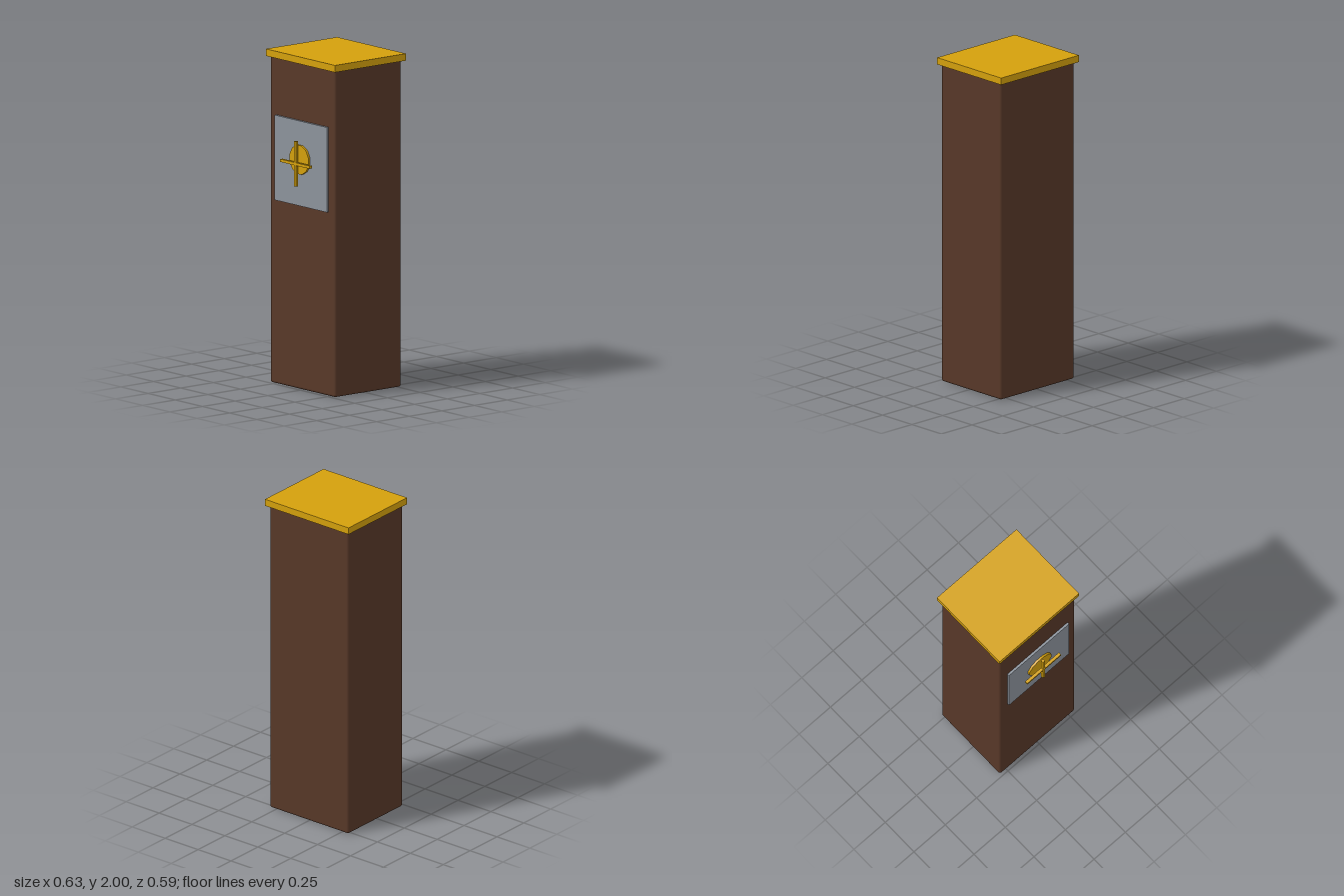
import * as THREE from 'three';
import { RoundedBoxGeometry } from 'three/addons/geometries/RoundedBoxGeometry.js';

const material = (color) => new THREE.MeshStandardMaterial({ color });

export function createModel() {
  const model = new THREE.Group();
  const wood = material(0x583828);
  const gold = material(0xd4a00c);
  const steel = material(0x8c939c);

  const add = (name, geometry, mat, x, y, z) => {
    const mesh = new THREE.Mesh(geometry, mat);
    mesh.name = name;
    mesh.position.set(x, y, z);
    model.add(mesh);
    return mesh;
  };
  const box = (name, mat, w, h, d, x, y, z) =>
    add(name, new THREE.BoxGeometry(w, h, d), mat, x, y, z);

  // Tall pillar with softly rounded edges, and an overhanging lid
  add('pillar', new RoundedBoxGeometry(0.6, 1.97, 0.51, 3, 0.015), wood, 0, 0.985, -0.021);
  box('lid', gold, 0.634, 0.042, 0.545, 0, 1.979, -0.0225);

  // Front plate
  box('frontPlate', steel, 0.48, 0.51, 0.02, 0, 1.36, 0.238);

  // Twelve-sided disc with a flat edge at the top
  const disc = new THREE.CylinderGeometry(0.0895, 0.0895, 0.018, 12);
  disc.rotateY(Math.PI / 12).rotateX(Math.PI / 2);
  add('disc', disc, gold, 0, 1.385, 0.252);

  // Crossed handle bars standing clear of the disc
  box('handleBarHorizontal', gold, 0.27, 0.017, 0.018, 0, 1.364, 0.283);
  box('handleBarVertical', gold, 0.017, 0.27, 0.018, 0, 1.364, 0.283);

  return model;
}
